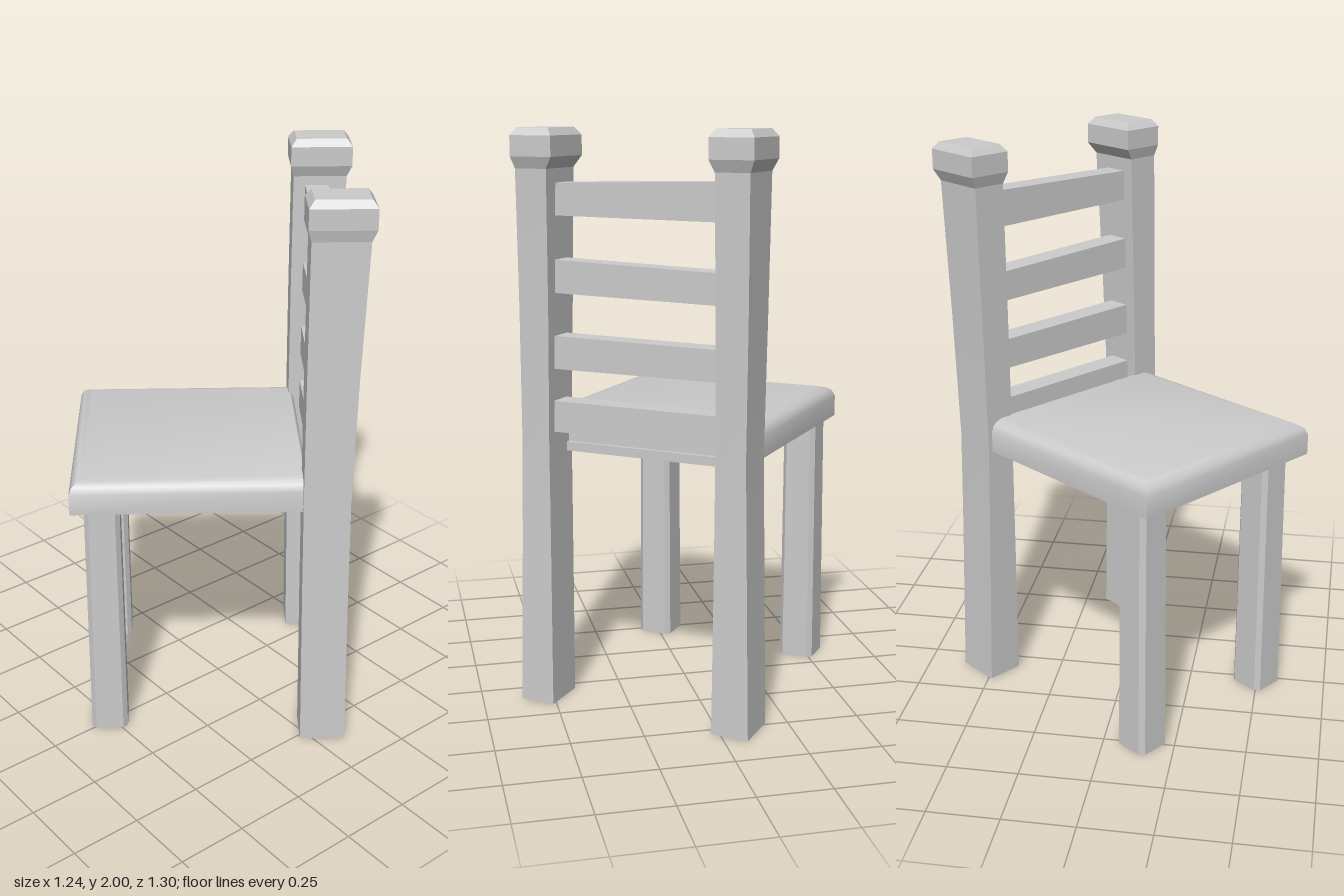
import * as THREE from 'three';
import { toCreasedNormals } from 'three/addons/utils/BufferGeometryUtils.js';

const material = new THREE.MeshStandardMaterial({ color: 0xcccccc });

// Closed solid through rectangular sections [y, x0, x1, z0, z1], corners cut by chamfer c
function loft(sections, c = 0, crease = 0.2) {
  const rings = sections.map(([y, x0, x1, z0, z1]) => {
    const p = c
      ? [[x1 - c, z1], [x1, z1 - c], [x1, z0 + c], [x1 - c, z0],
         [x0 + c, z0], [x0, z0 + c], [x0, z1 - c], [x0 + c, z1]]
      : [[x1, z1], [x1, z0], [x0, z0], [x0, z1]];
    return p.map(([x, z]) => [x, y, z]);
  });
  const n = rings[0].length, pos = [];
  const tri = (a, b, d) => pos.push(...a, ...b, ...d);
  for (let k = 0; k < rings.length - 1; k++) {
    const lo = rings[k], hi = rings[k + 1];
    for (let i = 0; i < n; i++) {
      const j = (i + 1) % n;
      tri(lo[i], lo[j], hi[j]);
      tri(lo[i], hi[j], hi[i]);
    }
  }
  const bottom = rings[0], top = rings[rings.length - 1];
  for (let i = 1; i < n - 1; i++) {
    tri(top[0], top[i], top[i + 1]);
    tri(bottom[0], bottom[i + 1], bottom[i]);
  }
  const geo = new THREE.BufferGeometry();
  geo.setAttribute('position', new THREE.Float32BufferAttribute(pos, 3));
  return toCreasedNormals(geo, crease);
}

export function createModel() {
  const chair = new THREE.Group();
  chair.name = 'chair';
  const add = (name, geo) => {
    const mesh = new THREE.Mesh(geo, material);
    mesh.name = name;
    chair.add(mesh);
  };

  // Seat with a rounded upper edge
  const inset = (y, i) => [y, -0.397 + i, 0.397 - i, -0.295 + i * 0.3, 0.509 - i];
  add('seat', loft([inset(0.92, 0), inset(0.995, 0), inset(1.018, 0.01),
    inset(1.03, 0.026), inset(1.036, 0.048)], 0, 0.7));

  // Thin panel under the seat
  add('apron', loft([[0.893, -0.32, 0.32, -0.31, 0.36], [0.925, -0.32, 0.32, -0.31, 0.36]]));

  // Chamfered front legs
  for (const [name, x] of [['rightFrontLeg', -0.312], ['leftFrontLeg', 0.286]]) {
    const z = 0.405, b = 0.065, t = 0.061;
    add(name, loft([[0, x - b, x + b, z - b, z + b], [0.925, x - t, x + t, z - t, z + t]], 0.016));
  }

  // Back posts, slightly bowed: inner and outer x at foot, seat and neck, then the cap's centre
  const posts = [
    ['leftBackPost', [0.306, 0.433], [0.308, 0.413], [0.284, 0.4], 0.333],
    ['rightBackPost', [-0.433, -0.3], [-0.413, -0.306], [-0.43, -0.312], -0.373],
  ];
  for (const [name, foot, mid, neck, cx] of posts) {
    add(name, loft([
      [0, ...foot, -0.445, -0.284],
      [0.6, (foot[0] + 2 * mid[0]) / 3, (foot[1] + 2 * mid[1]) / 3, -0.436, -0.277],
      [0.95, ...mid, -0.433, -0.274],
      [1.4, (mid[0] + neck[0]) / 2, (mid[1] + neck[1]) / 2, -0.443, -0.273],
      [1.87, ...neck, -0.461, -0.274],
    ], 0, 0.15));
    // Flared cap with a bevelled top
    const cap = (y, w, d) => [y, cx - w, cx + w, -0.37 - d, -0.37 + d];
    add(name + 'Cap', loft([[1.868, ...neck, -0.461, -0.274],
      cap(1.907, 0.076, 0.107), cap(1.975, 0.076, 0.107), cap(2, 0.058, 0.088)]));
  }

  // Back slats: [bottom, top] at the right end, then at the left end
  const slats = [
    [[0.98, 1.085], [0.978, 1.086]],
    [[1.196, 1.302], [1.197, 1.31]],
    [[1.444, 1.548], [1.456, 1.568]],
    [[1.709, 1.837], [1.714, 1.82]],
  ];
  slats.forEach(([right, left], i) => {
    const geo = new THREE.BoxGeometry(0.68, 1, 0.083);
    const p = geo.attributes.position;
    for (let k = 0; k < p.count; k++) {
      p.setY(k, (p.getX(k) < 0 ? right : left)[p.getY(k) < 0 ? 0 : 1]);
    }
    geo.translate(-0.01, 0, -0.3565);
    geo.computeVertexNormals();
    add('backSlat' + (i + 1), geo);
  });

  // The chair stands turned on its spot
  chair.rotation.y = -0.647;
  const model = new THREE.Group();
  model.name = 'turnedChair';
  model.add(chair);
  return model;
}
